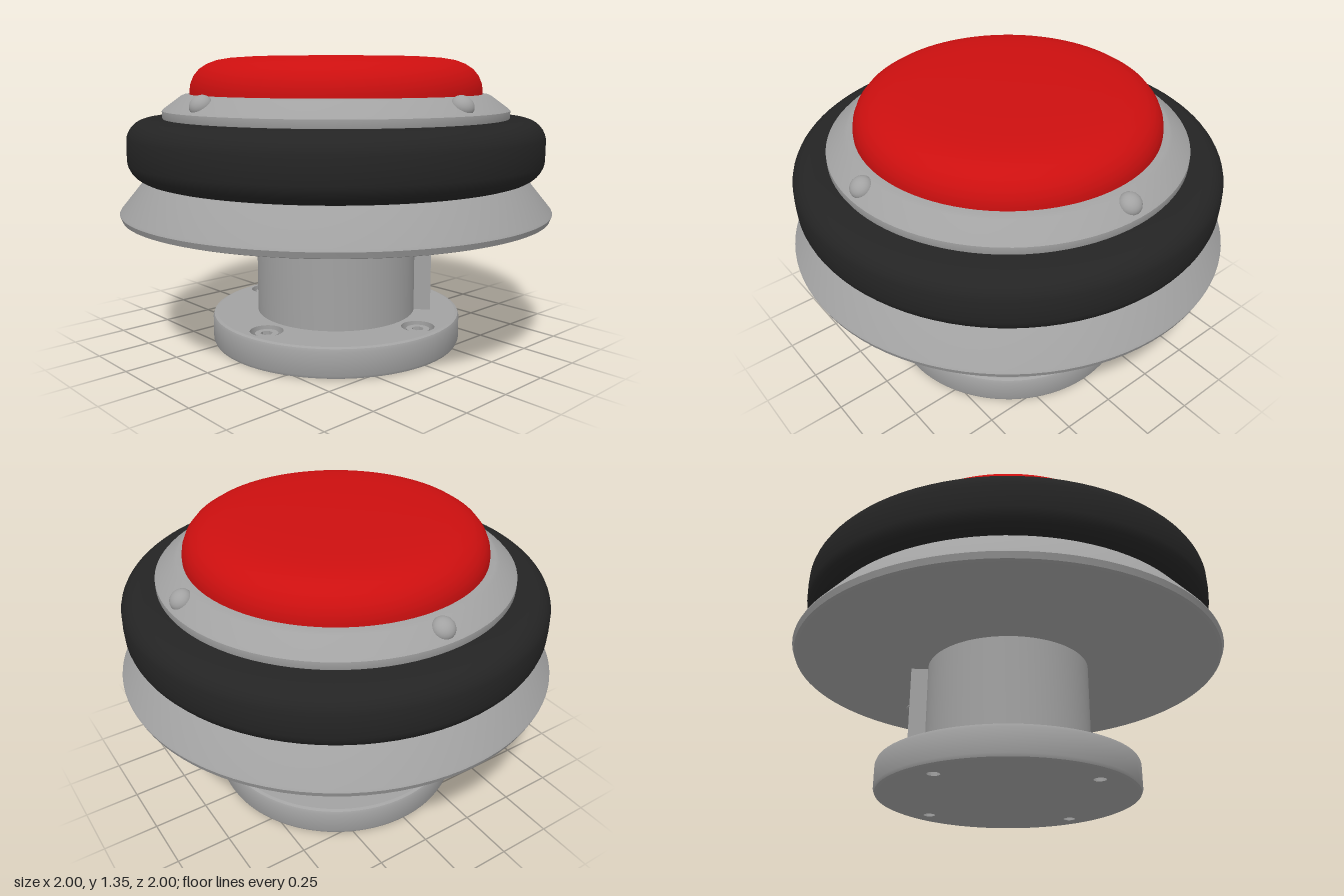
import * as THREE from 'three';
import { toCreasedNormals } from 'three/addons/utils/BufferGeometryUtils.js';

const metal = new THREE.MeshStandardMaterial({ color: 0xa2a2a2 });
metal.name = 'grey metal';
const rubber = new THREE.MeshStandardMaterial({ color: 0x242424 });
rubber.name = 'black rubber';
const red = new THREE.MeshStandardMaterial({ color: 0xcc0f0f });
red.name = 'red plastic';

// Turned part from [radius, height] pairs, listed upwards for outward faces
function lathe(name, points, material, segments = 96) {
  const profile = points.map(([r, y]) => new THREE.Vector2(r, y));
  const geometry = toCreasedNormals(new THREE.LatheGeometry(profile, segments), 0.6);
  const mesh = new THREE.Mesh(geometry, material);
  mesh.name = name;
  return mesh;
}

// Flat disc at height y with round holes [x, z, radius]
function disc(name, radius, y, up, holes) {
  const shape = new THREE.Shape().absarc(0, 0, radius, 0, Math.PI * 2, false);
  for (const [x, z, r] of holes) {
    shape.holes.push(new THREE.Path().absarc(x, up ? -z : z, r, 0, Math.PI * 2, true));
  }
  const geometry = new THREE.ShapeGeometry(shape, 48);
  geometry.rotateX(up ? -Math.PI / 2 : Math.PI / 2).translate(0, y, 0);
  const mesh = new THREE.Mesh(geometry, metal);
  mesh.name = name;
  return mesh;
}

// Shape drawn in plan (y towards the back), raised from y0 to y1
function raise(name, shape, y0, y1) {
  const geometry = new THREE.ExtrudeGeometry(shape, { depth: y1 - y0, bevelEnabled: false, curveSegments: 32 });
  geometry.rotateX(-Math.PI / 2).translate(0, y0, 0);
  const mesh = new THREE.Mesh(toCreasedNormals(geometry, 0.6), metal);
  mesh.name = name;
  return mesh;
}

// Sunken socket-head screw in a stepped pocket
function makeScrew() {
  const screw = new THREE.Group();
  screw.name = 'baseScrew';
  screw.add(lathe('screwPocket', [[0.075, 0.14], [0.075, 0.08], [0.028, 0.08], [0.028, 0]], metal, 32));

  const head = new THREE.Shape().absarc(0, 0, 0.052, 0, Math.PI * 2, false);
  const socket = new THREE.Path();
  for (let i = 0; i <= 6; i++) {
    const a = -i * Math.PI / 3;
    socket[i ? 'lineTo' : 'moveTo'](0.028 * Math.cos(a), 0.028 * Math.sin(a));
  }
  head.holes.push(socket);
  screw.add(raise('screwHead', head, 0.08, 0.13));
  screw.add(lathe('screwShank', [[0, 0.03], [0.028, 0.03], [0.028, 0.1], [0, 0.1]], metal, 24));
  return screw;
}

export function createModel() {
  const model = new THREE.Group();
  model.name = 'pushButton';

  // Base flange with four screws
  const screwSpots = [0, 1, 2, 3].map(i => {
    const a = -0.13 + i * Math.PI / 2;
    return [0.48 * Math.cos(a), 0.48 * Math.sin(a)];
  });
  const base = new THREE.Group();
  base.name = 'baseFlange';
  base.add(lathe('flangeRim', [[0.575, 0], [0.587, 0.005], [0.593, 0.018],
    [0.593, 0.122], [0.588, 0.135], [0.575, 0.14]], metal));
  base.add(disc('flangeTop', 0.575, 0.14, true, screwSpots.map(([x, z]) => [x, z, 0.075])));
  base.add(disc('flangeBottom', 0.575, 0, false, screwSpots.map(([x, z]) => [x, z, 0.028])));
  for (const [x, z] of screwSpots) {
    const screw = makeScrew();
    screw.position.set(x, 0, z);
    base.add(screw);
  }
  model.add(base);

  // Stem with a curved cover over its back
  model.add(lathe('stem', [[0.378, 0.13], [0.378, 0.63]], metal));
  const cover = new THREE.Shape();
  const start = 0.69;
  cover.absarc(0, 0, 0.457, start, Math.PI - start, false);
  cover.absarc(0, 0, 0.36, Math.PI - start, start, true);
  model.add(raise('stemCover', cover, 0.14, 0.62));

  // Sloped skirt plate, with a cable hole in its underside
  model.add(lathe('skirt', [[0.975, 0.615], [0.99, 0.62], [1, 0.645], [0.995, 0.655],
    [0.885, 0.79], [0.7, 0.79]], metal));
  model.add(disc('skirtUnderside', 0.975, 0.615, false, [[0, -0.66, 0.07]]));
  const grommet = lathe('cableGrommet', [[0, 0.68], [0.055, 0.68], [0.055, 0.61],
    [0.062, 0.604], [0.073, 0.604], [0.078, 0.61], [0.078, 0.62]].reverse()
    .map(([r, y]) => [r, y]).reverse(), metal, 40);
  // The bore is seen from inside and the rim from outside
  grommet.geometry = toCreasedNormals(new THREE.LatheGeometry(
    [[0, 0.68], [0.055, 0.68], [0.055, 0.61], [0.062, 0.604], [0.073, 0.604], [0.078, 0.61], [0.078, 0.62]]
      .map(([r, y]) => new THREE.Vector2(r, y)), 40), 0.6);
  grommet.position.z = -0.66;
  model.add(grommet);

  // Rubber bumper with rounded outer edges
  const bumper = [[0.7, 0.79], [0.87, 0.79]];
  for (let i = 1; i <= 16; i++) {
    const a = -Math.PI / 2 + i * Math.PI / 16;
    const side = i < 8 ? -0.035 : i > 8 ? 0.035 : 0;
    bumper.push([0.86 + 0.1 * Math.cos(a), 0.9275 + side + 0.1025 * Math.sin(a)]);
  }
  bumper.push([0.7, 1.065]);
  model.add(lathe('bumper', bumper, rubber));

  // Bezel ring and its four dome bolts
  model.add(lathe('bezel', [[0.79, 1.05], [0.8, 1.07], [0.8, 1.1], [0.79, 1.11],
    [0.715, 1.165], [0.7, 1.172], [0.6, 1.172]], metal));
  for (let i = 0; i < 4; i++) {
    const arm = new THREE.Group();
    arm.name = 'bezelBolt';
    arm.rotation.y = i * Math.PI / 2;
    const dome = new THREE.Mesh(new THREE.SphereGeometry(0.05, 20, 10, 0, Math.PI * 2, 0, Math.PI / 2), metal);
    dome.name = 'boltDome';
    dome.scale.y = 0.85;
    dome.position.set(0, 1.137, 0.745);
    dome.rotation.x = 0.6;
    arm.add(dome);
    model.add(arm);
  }

  // Red push cap
  model.add(lathe('pushCap', [[0.675, 1.16], [0.675, 1.19], [0.67, 1.22], [0.655, 1.255],
    [0.63, 1.285], [0.595, 1.308], [0.55, 1.325], [0.49, 1.335], [0.4, 1.341],
    [0.25, 1.344], [0, 1.345]], red));

  return model;
}
